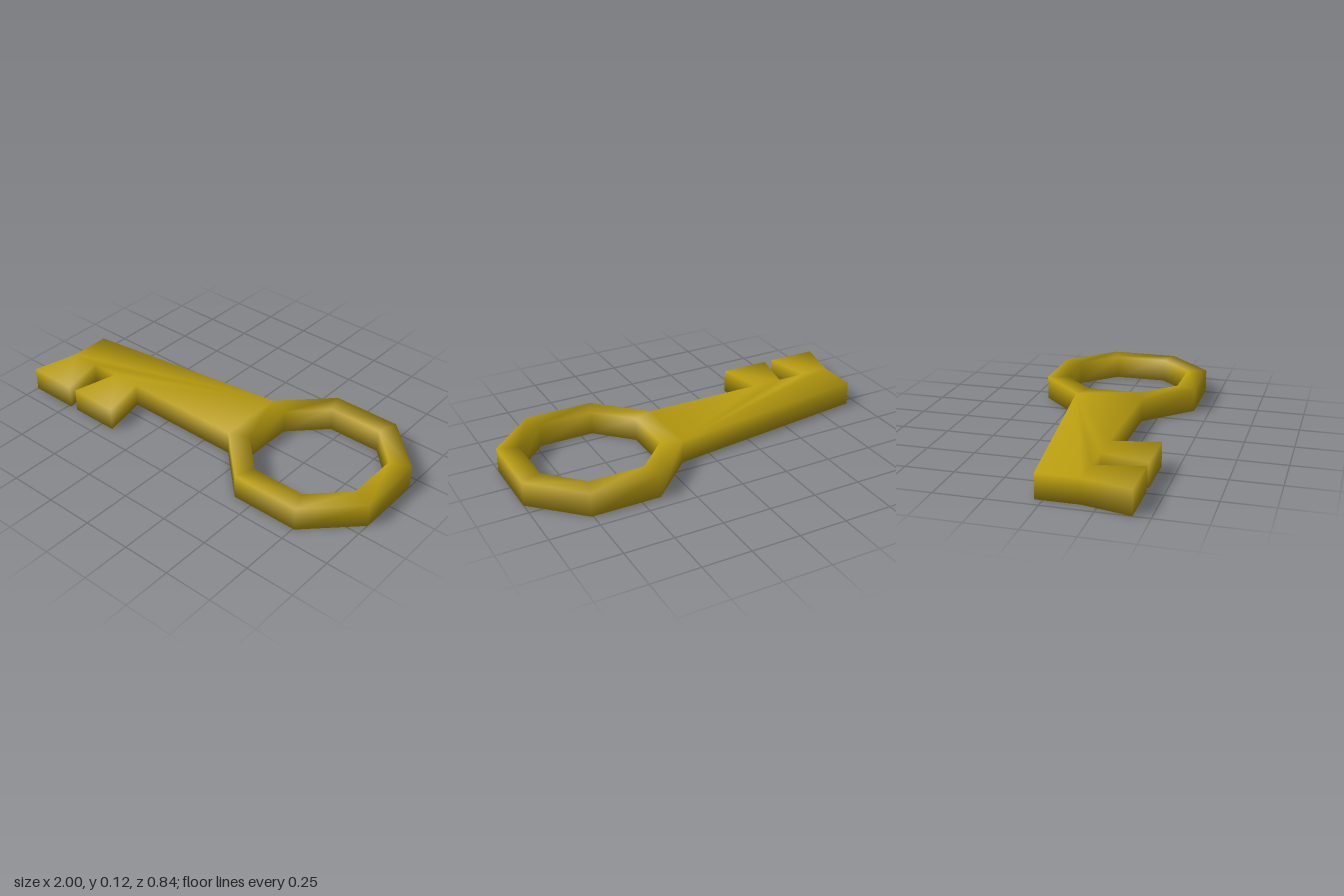
import * as THREE from 'three';

const HEIGHT = 0.125;

// Solid slab from flat polygons (counter-clockwise seen from above, y = away from the front).
// Shared corners give smooth normals; walls rise from every edge that only one polygon uses.
function slab(points, polygons) {
  const n = points.length;
  const positions = [];
  for (const h of [0, HEIGHT]) for (const [x, y] of points) positions.push(x, h, -y);
  const index = [];
  const edges = new Set();
  for (const p of polygons) {
    for (let i = 1; i < p.length - 1; i++) {
      index.push(p[0] + n, p[i] + n, p[i + 1] + n); // top
      index.push(p[0], p[i + 1], p[i]); // underside
    }
    p.forEach((a, i) => edges.add(`${a},${p[(i + 1) % p.length]}`));
  }
  for (const e of edges) {
    const [a, b] = e.split(',').map(Number);
    if (!edges.has(`${b},${a}`)) index.push(a, b, b + n, a, b + n, a + n);
  }
  const g = new THREE.BufferGeometry();
  g.setAttribute('position', new THREE.Float32BufferAttribute(positions, 3));
  g.setIndex(index);
  g.computeVertexNormals();
  return g;
}

// Octagon with clipped corners, starting at the left side's far corner
function octagon(cx, halfX, halfY, flatX, flatY) {
  return [
    [-halfX, flatY], [-halfX, -flatY], [-flatX, -halfY], [flatX, -halfY],
    [halfX, -flatY], [halfX, flatY], [flatX, halfY], [-flatX, halfY],
  ].map(([x, y]) => [cx + x, y]);
}

export function createModel() {
  const brass = new THREE.MeshStandardMaterial({ color: 0xb89c10 });

  const points = [
    ...octagon(0.58, 0.42, 0.418, 0.178, 0.18), // 0-7 bow, outside
    ...octagon(0.58, 0.315, 0.315, 0.142, 0.14), // 8-15 bow, inside
    [-0.945, 0.038], [-0.945, -0.178], // 16-17 shaft tip
    [-0.79, -0.178], [-0.635, -0.178], [-0.48, -0.178], // 18-20 tooth roots
    [-1, -0.418], [-0.735, -0.418], [-0.69, -0.418], [-0.425, -0.418], // 21-24 tooth ends
  ];

  // Bow ring
  const polygons = [];
  for (let i = 0; i < 8; i++) {
    const j = (i + 1) % 8;
    polygons.push([i, j, j + 8, i + 8]);
  }
  // Tapered shaft
  polygons.push([0, 16, 17, 18, 19, 20, 1]);
  // Two flared teeth
  polygons.push([17, 21, 22, 18], [19, 23, 24, 20]);

  const key = new THREE.Mesh(slab(points, polygons), brass);
  key.name = 'keyBody';

  const group = new THREE.Group();
  group.name = 'key';
  group.add(key);
  return group;
}
